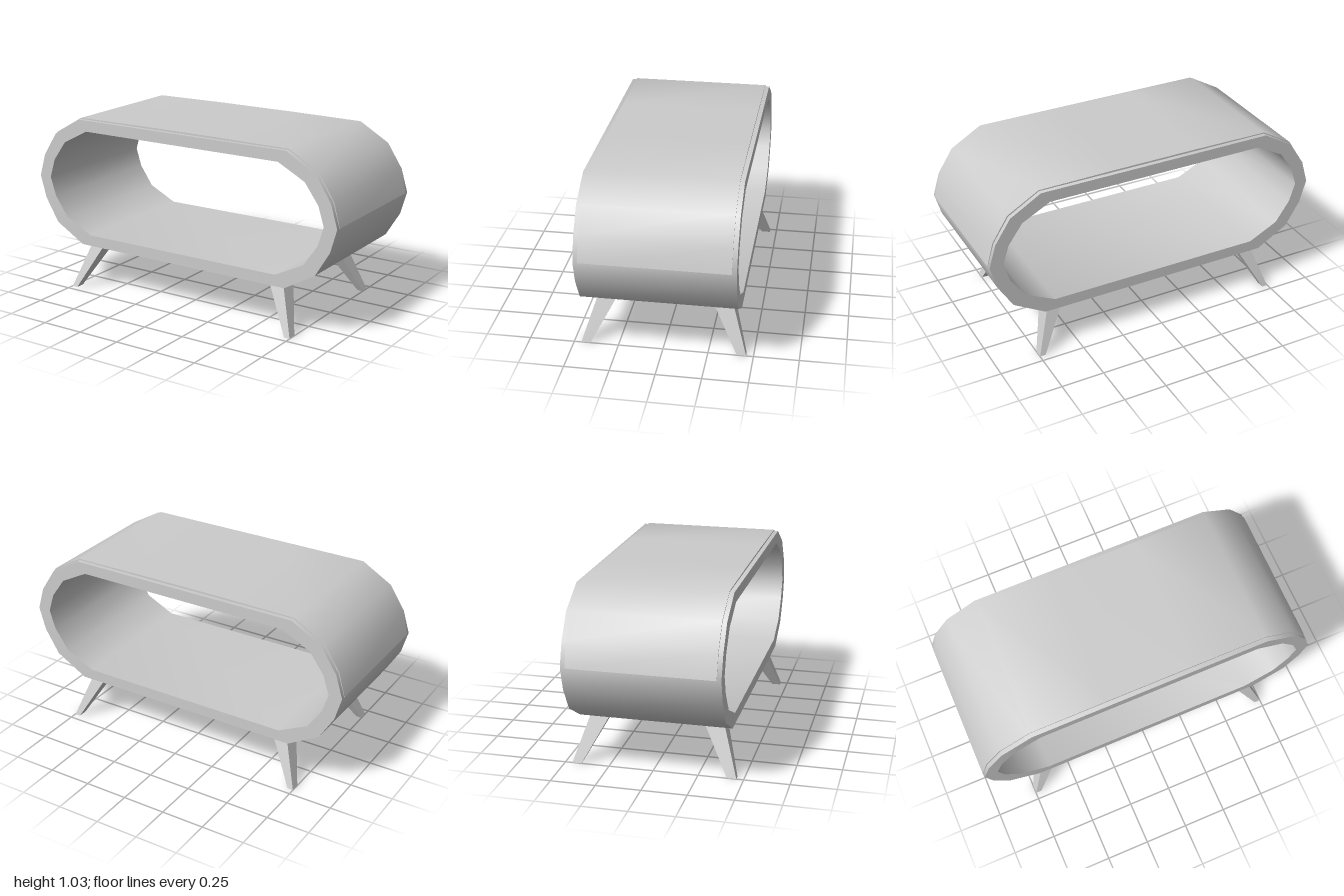
import * as THREE from 'three';
import { toCreasedNormals } from 'three/addons/utils/BufferGeometryUtils.js';

const material = new THREE.MeshStandardMaterial({ color: 0xcccccc });

// Right half profiles, bottom to top
const OUTER = [[0.69, 0.265], [0.875, 0.372], [0.96, 0.512], [0.998, 0.645], [0.958, 0.778], [0.868, 0.916], [0.69, 1.02]];
const INNER = [[0.63, 0.33], [0.802, 0.415], [0.885, 0.535], [0.92, 0.645], [0.885, 0.755], [0.802, 0.87], [0.64, 0.955]];
// Thin cover, lying over the top half of the body
const COVER = [[1, 0.645], [0.963, 0.781], [0.873, 0.922], [0.692, 1.026], [0.25, 1.03]];

const vec = ([x, y]) => new THREE.Vector2(x, y);
const mirrored = (half) => [...half, ...half.map(([x, y]) => [-x, y]).reverse()].map(vec);

function extrudeZ(shape, depth, name) {
  const geo = new THREE.ExtrudeGeometry(shape, { depth, bevelEnabled: false });
  geo.translate(0, 0, -depth / 2);
  const mesh = new THREE.Mesh(toCreasedNormals(geo, 0.65), material);
  mesh.name = name;
  return mesh;
}

// Tapered square leg, splayed outward towards its corner
function leg(sx, sz) {
  const geo = new THREE.BoxGeometry(1, 1, 1);
  const p = geo.attributes.position;
  for (let i = 0; i < p.count; i++) {
    const top = p.getY(i) > 0;
    const [cx, w, cz, d, y] = top ? [0.608, 0.09, 0.316, 0.112, 0.275] : [0.732, 0.034, 0.434, 0.052, 0];
    p.setXYZ(i, sx * cx + p.getX(i) * w, y, sz * cz + p.getZ(i) * d);
  }
  const flat = geo.toNonIndexed();
  flat.computeVertexNormals();
  const mesh = new THREE.Mesh(flat, material);
  mesh.name = (sz > 0 ? 'front' : 'back') + (sx > 0 ? 'Left' : 'Right') + 'Leg';
  return mesh;
}

export function createModel() {
  const group = new THREE.Group();
  group.name = 'openTable';

  // Hollow capsule-shaped body
  const ring = new THREE.Shape(mirrored(OUTER));
  ring.holes.push(new THREE.Path(mirrored(INNER)));
  group.add(extrudeZ(ring, 0.85, 'body'));

  // Cover strip: outer line over the top, back along the body's surface
  const over = mirrored(COVER);
  const under = mirrored(OUTER.slice(3)).reverse();
  group.add(extrudeZ(new THREE.Shape([...over, ...under]), 0.8, 'topCover'));

  for (const sx of [1, -1]) for (const sz of [1, -1]) group.add(leg(sx, sz));
  return group;
}
